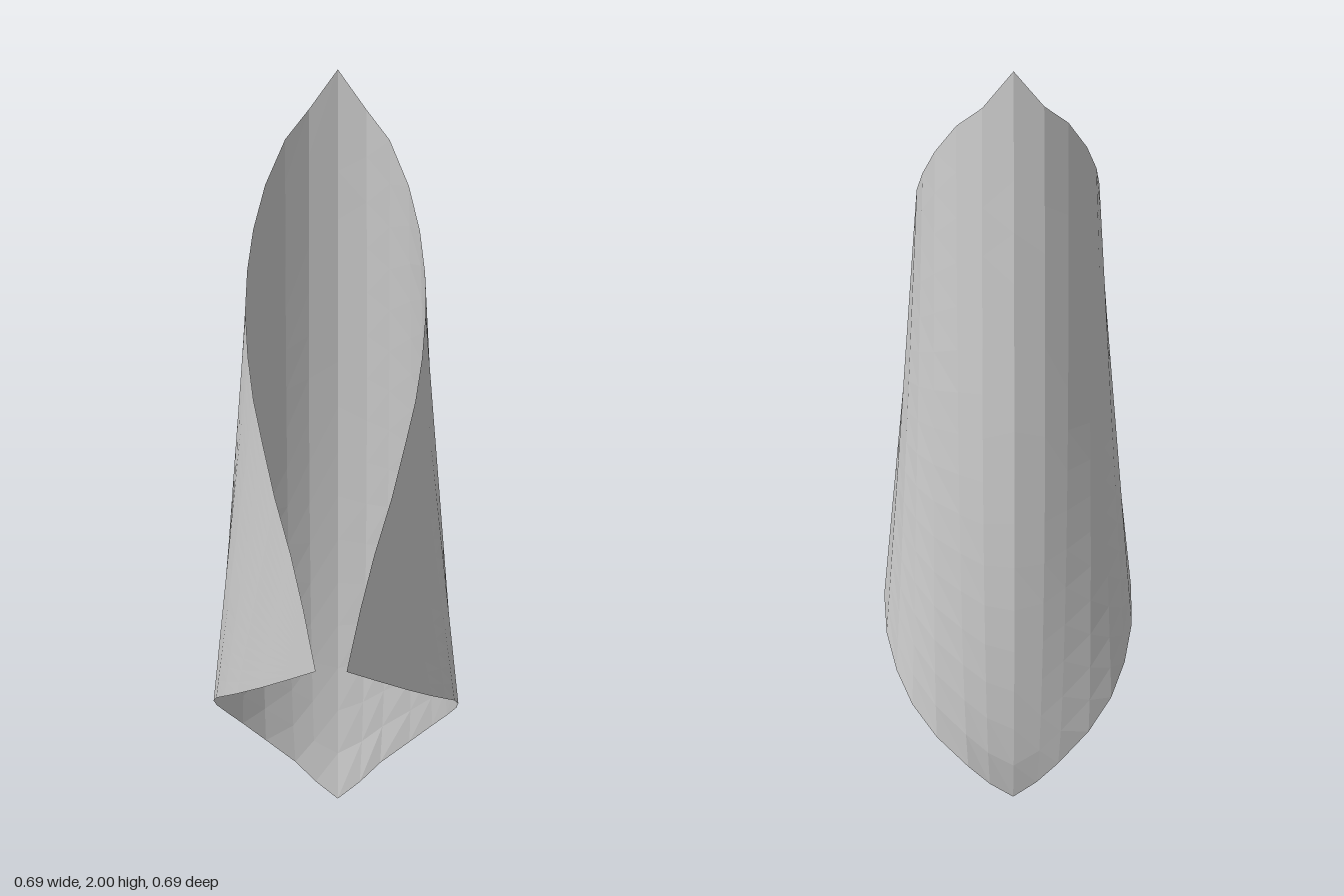
import * as THREE from 'three';

// Half of the curled sheet, from spine to free corner: lower and upper edge points
const lowerEdge = [
  [0.215, 0, -0.215], [0.258, 0.05, -0.178], [0.295, 0.11, -0.142], [0.332, 0.19, -0.075],
  [0.346, 0.265, -0.01], [0.335, 0.33, 0.05], [0.305, 0.395, 0.11], [0.257, 0.455, 0.162],
  [0.2, 0.51, 0.203], [0.135, 0.56, 0.235], [0.06, 0.615, 0.262], [-0.05, 0.695, 0.287],
  [-0.17, 0.785, 0.313], [-0.3, 0.885, 0.348],
];
const upperEdge = [
  [0.192, 2, -0.192], [0.23, 1.91, -0.14], [0.245, 1.85, -0.08], [0.242, 1.76, -0.015],
  [0.223, 1.675, 0.04], [0.193, 1.6, 0.087], [0.153, 1.525, 0.13], [0.105, 1.445, 0.168],
  [0.05, 1.37, 0.203], [-0.01, 1.295, 0.232], [-0.08, 1.2, 0.262], [-0.16, 1.1, 0.29],
  [-0.23, 1, 0.318], [-0.3, 0.885, 0.348],
];
// Outward swell of the columns nearest the spine
const swell = [0.05, 0.036, 0.02, 0.008];
const ROWS = 16;

// Point on column j at fraction t from the lower to the upper edge
function sheetPoint(j, t) {
  const p = new THREE.Vector3(...lowerEdge[j]).lerp(new THREE.Vector3(...upperEdge[j]), t);
  const out = new THREE.Vector3(p.x - 0.05, 0, p.z + 0.05).normalize();
  return p.addScaledVector(out, (swell[j] ?? 0) * Math.sin(Math.PI * Math.pow(t, 0.65)));
}

export function createModel() {
  const last = lowerEdge.length - 1;
  const positions = [];
  const indices = [];

  // Columns run from one free corner, round the spine, to the mirrored corner
  for (let c = -last; c <= last; c++) {
    for (let r = 0; r <= ROWS; r++) {
      const p = sheetPoint(Math.abs(c), r / ROWS);
      if (c < 0) positions.push(p.x, p.y, p.z);
      else positions.push(-p.z, p.y, -p.x); // mirrored across the diagonal plane
    }
  }
  for (let c = 0; c < 2 * last; c++) {
    for (let r = 0; r < ROWS; r++) {
      const a = c * (ROWS + 1) + r;
      const b = a + ROWS + 1;
      // The end columns shrink to a point, so they need one triangle per row
      if (c > 0) indices.push(a, b, a + 1);
      if (c === 0) indices.push(a, b, b + 1);
      else if (c < 2 * last - 1) indices.push(b, b + 1, a + 1);
    }
  }

  const geometry = new THREE.BufferGeometry();
  geometry.setAttribute('position', new THREE.Float32BufferAttribute(positions, 3));
  geometry.setIndex(indices);
  geometry.computeVertexNormals();

  const sheet = new THREE.Mesh(geometry, new THREE.MeshStandardMaterial({
    color: 0xcccccc, flatShading: true, side: THREE.DoubleSide,
  }));
  sheet.name = 'curledSheet';

  const model = new THREE.Group();
  model.name = 'curledLeaf';
  model.add(sheet);
  return model;
}
